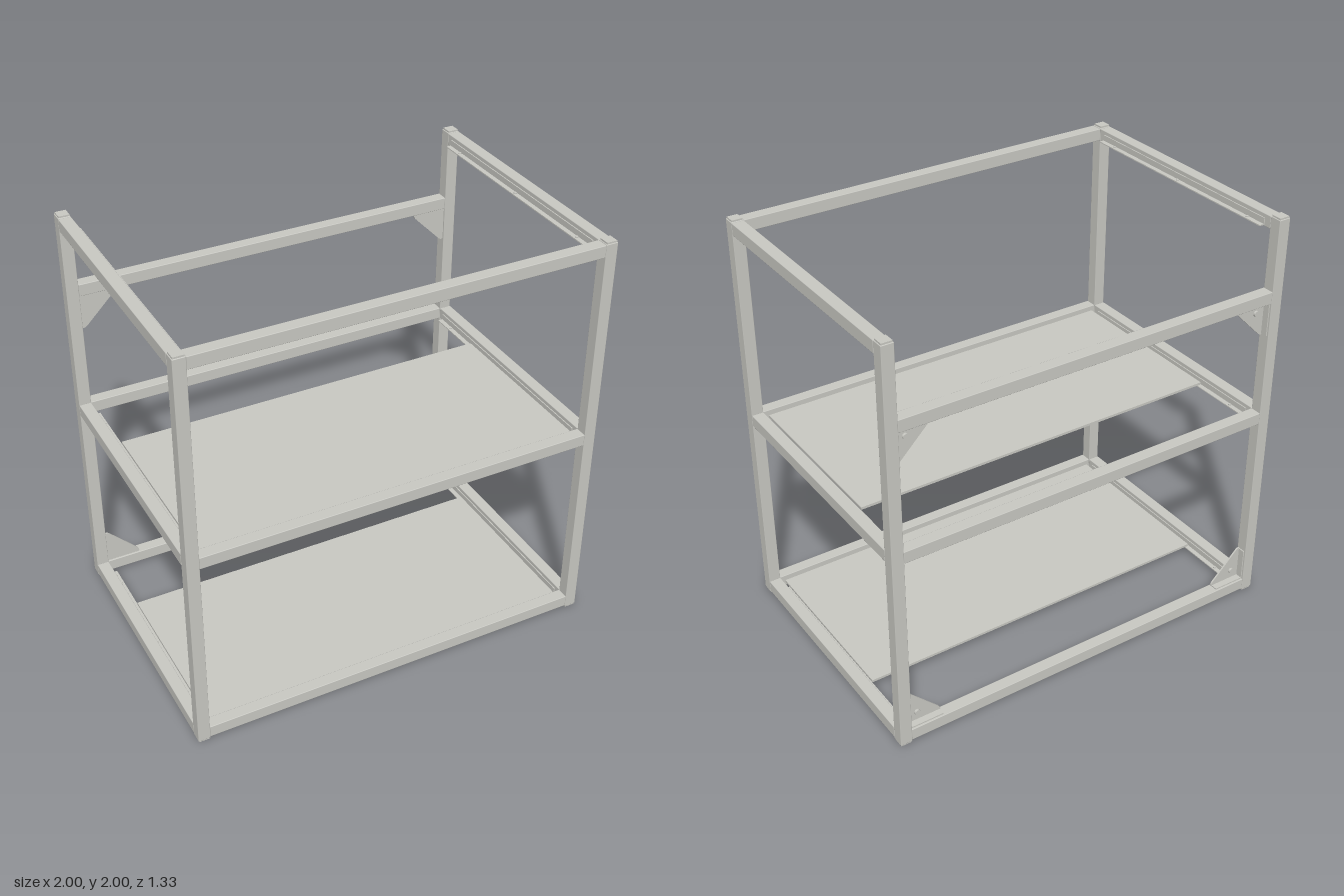
import * as THREE from 'three';
import { RoundedBoxGeometry } from 'three/addons/geometries/RoundedBoxGeometry.js';

export function createModel() {
  const root = new THREE.Group();
  root.name = 'shelfFrame';
  const steel = new THREE.MeshStandardMaterial({ color: 0xc8c8c2 });
  steel.name = 'light grey steel';

  const add = (name, geometry, x, y, z, parent = root) => {
    const mesh = new THREE.Mesh(geometry, steel);
    mesh.name = name;
    mesh.position.set(x, y, z);
    parent.add(mesh);
    return mesh;
  };
  const tube = (w, h, d) => new RoundedBoxGeometry(w, h, d, 1, 0.003);
  const box = (w, h, d) => new THREE.BoxGeometry(w, h, d);

  const T = 0.058; // square tube size
  const PX = 0.971, PZ = 0.636; // post centres
  const levels = { bottom: 0.043, middle: 1.003, top: 1.962 };

  // Corner posts with end plugs
  for (const sx of [-1, 1]) for (const sz of [-1, 1]) {
    add('post', tube(T, 1.985, T), sx * PX, 1, sz * PZ);
    for (const y of [0.004, 1.996]) add('postPlug', box(0.05, 0.008, 0.05), sx * PX, y, sz * PZ);
  }

  // Horizontal rails; the upper back rail sits lower than the front one
  const railX = tube(2 * PX - T, T, T), railZ = tube(T, T, 2 * PZ - T);
  for (const y of Object.values(levels)) {
    add('frontRail', railX, 0, y, PZ);
    for (const sx of [-1, 1]) add('sideRail', railZ, sx * PX, y, 0);
  }
  for (const y of [levels.bottom, levels.middle, 1.625]) add('backRail', railX, 0, y, -PZ);

  // Angle ledgers inside the side rails, with small screws
  const screw = new THREE.CylinderGeometry(0.007, 0.007, 0.006, 12);
  for (const y of Object.values(levels)) for (const sx of [-1, 1]) {
    const ledger = new THREE.Group();
    ledger.name = 'ledger';
    root.add(ledger);
    add('ledgerFlange', box(0.028, 0.005, 1.145), sx * 0.928, y - 0.02, 0, ledger);
    add('ledgerWeb', box(0.005, 0.032, 1.145), sx * 0.9395, y - 0.006, 0, ledger);
    for (const z of [-0.475, 0, 0.475]) add('ledgerScrew', screw, sx * 0.928, y - 0.016, z, ledger);
  }

  // Shelf panels, open at the back
  for (const y of [levels.bottom, levels.middle])
    add('shelf', box(1.84, 0.012, 0.873), 0, y + 0.001, 0.1635);

  // Corner gussets: web with a screw hole and two flanges
  const L = 0.168, B = 0.022;
  const web = new THREE.Shape();
  web.moveTo(0, 0);
  web.lineTo(L - 0.006, 0);
  web.quadraticCurveTo(L, 0, L, 0.008);
  web.quadraticCurveTo(L, 0.016, L - 0.01, B + 0.004);
  web.lineTo(B + 0.004, L - 0.01);
  web.quadraticCurveTo(0.016, L, 0.008, L);
  web.quadraticCurveTo(0, L, 0, L - 0.006);
  web.closePath();
  const webGeo = new THREE.ExtrudeGeometry(web, { depth: 0.008, bevelEnabled: false, curveSegments: 5 });
  const bolt = new THREE.CylinderGeometry(0.014, 0.014, 0.012, 16).rotateX(Math.PI / 2);
  const gusset = (sx, y, sy) => {
    const g = new THREE.Group();
    g.name = 'gusset';
    g.position.set(sx * 0.942, y, 0);
    g.scale.set(-sx, sy, 1); // mirrored into each corner
    add('gussetWeb', webGeo, 0, 0, -0.624, g);
    add('gussetFlange', box(0.006, L - 0.008, 0.032), 0.003, L / 2, -0.64, g);
    add('gussetFlange', box(L - 0.008, 0.006, 0.032), L / 2, 0.003, -0.64, g);
    add('gussetBolt', bolt, 0.05, 0.05, -0.629, g);
    root.add(g);
  };
  for (const sx of [-1, 1]) {
    gusset(sx, 0.072, 1);
    gusset(sx, 1.596, -1);
  }
  return root;
}
